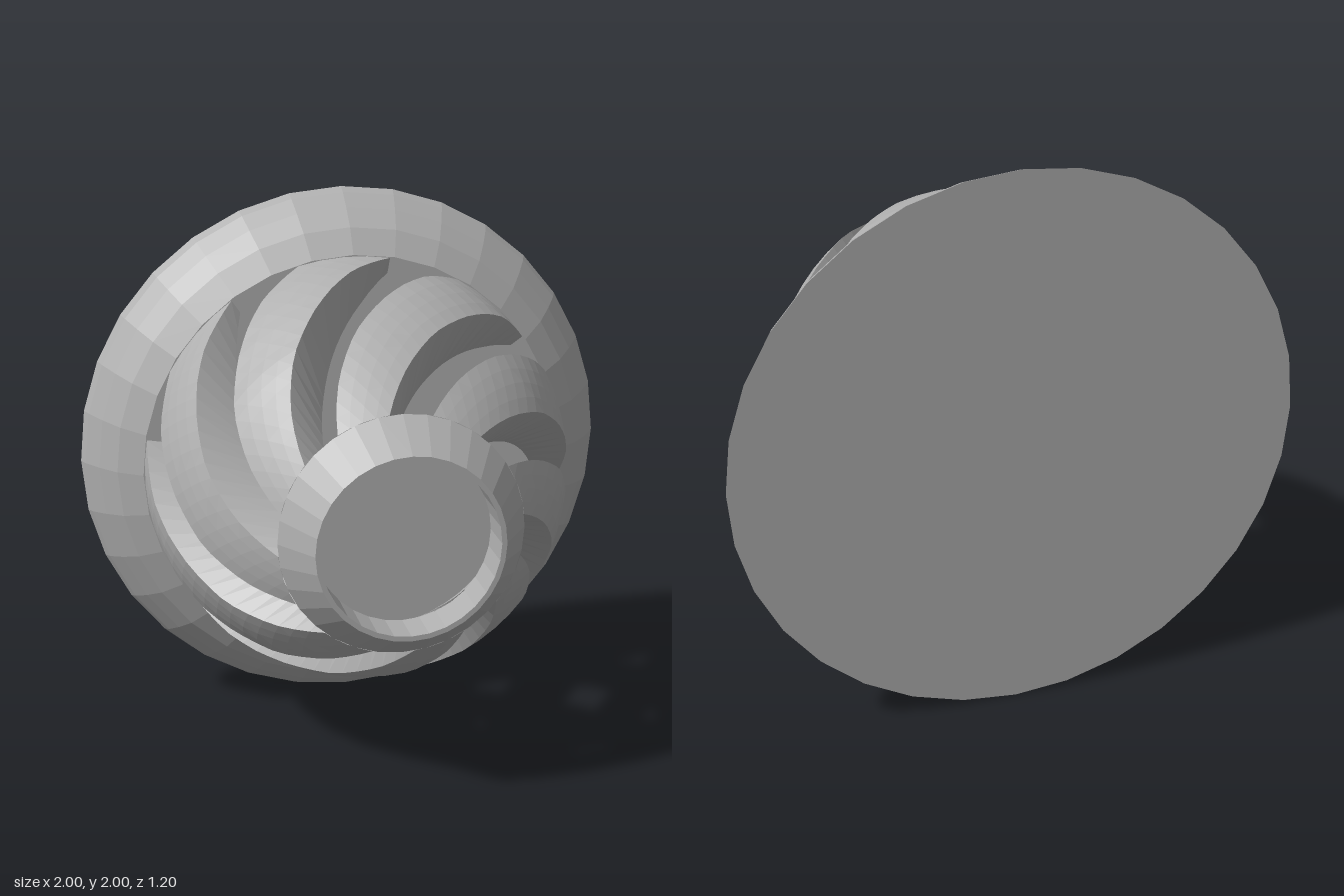
import * as THREE from 'three';

const rad = THREE.MathUtils.degToRad;
const FRONT = 0.45, BACK = -0.37, TWIST = 61, RIBS = 8;

// piecewise linear lookup of radius against z
function radiusAt(points, z) {
  for (let i = 0; i < points.length - 1; i++) {
    const [z0, r0] = points[i], [z1, r1] = points[i + 1];
    if (z >= z1 || i === points.length - 2) return r0 + (r1 - r0) * (z - z0) / (z1 - z0);
  }
}
const OUTER = [[0.45, 0.43], [0.3, 0.55], [0.15, 0.65], [0, 0.715], [-0.1, 0.75], [-0.2, 0.775], [-0.37, 0.785]];
const INNER = [[0.45, 0.31], [0.1, 0.47], [-0.23, 0.64], [-0.37, 0.73]];

function faceted(geometry) {
  const g = geometry.index ? geometry.toNonIndexed() : geometry;
  g.computeVertexNormals();
  return g;
}

// turned solid around the z axis, profile given as [radius, z]
function turned(profile) {
  const g = new THREE.LatheGeometry(profile.map(([r, z]) => new THREE.Vector2(r, z)), 32);
  g.rotateX(Math.PI / 2);
  return faceted(g);
}

// twisted rib swept from the collar back to the base
function ribGeometry() {
  const steps = 18, arc = 4, width = 25, n = 2 * (arc + 1);
  const pos = [], index = [];
  for (let i = 0; i <= steps; i++) {
    const t = i / steps, z = FRONT + (BACK - FRONT) * t;
    const start = 96 - TWIST * t;
    for (let k = 0; k < n; k++) {
      const outer = k <= arc;
      const a = rad(start + width * (outer ? k : n - 1 - k) / arc);
      const r = radiusAt(outer ? OUTER : INNER, z);
      pos.push(r * Math.cos(a), r * Math.sin(a), z);
    }
  }
  for (let i = 0; i < steps; i++) {
    for (let k = 0; k < n; k++) {
      const a = i * n + k, b = i * n + (k + 1) % n, c = b + n, d = a + n;
      index.push(a, d, c, a, c, b);
    }
  }
  const g = new THREE.BufferGeometry();
  g.setAttribute('position', new THREE.Float32BufferAttribute(pos, 3));
  g.setIndex(index);
  return faceted(g);
}

export function createModel() {
  const grey = new THREE.MeshStandardMaterial({ color: 0xb0b0b0 });
  grey.name = 'grey';

  const model = new THREE.Group();
  model.name = 'spiralCage';
  const add = (geometry, name) => {
    const mesh = new THREE.Mesh(geometry, grey);
    mesh.name = name;
    mesh.position.y = 1;
    model.add(mesh);
    return mesh;
  };

  // flared solid base at the back
  add(turned([[0, -0.6], [1, -0.6], [0.985, -0.565], [0.94, -0.5], [0.88, -0.43], [0.79, BACK], [0, BACK]]), 'base');

  // open collar at the front
  add(turned([[0.31, 0.6], [0.31, FRONT], [0.43, FRONT], [0.328, 0.6], [0.31, 0.6]]), 'collar');

  // ring of twisted ribs
  const rib = ribGeometry();
  for (let i = 0; i < RIBS; i++) {
    add(rib, 'rib' + (i + 1)).rotation.z = i * 2 * Math.PI / RIBS;
  }
  return model;
}
